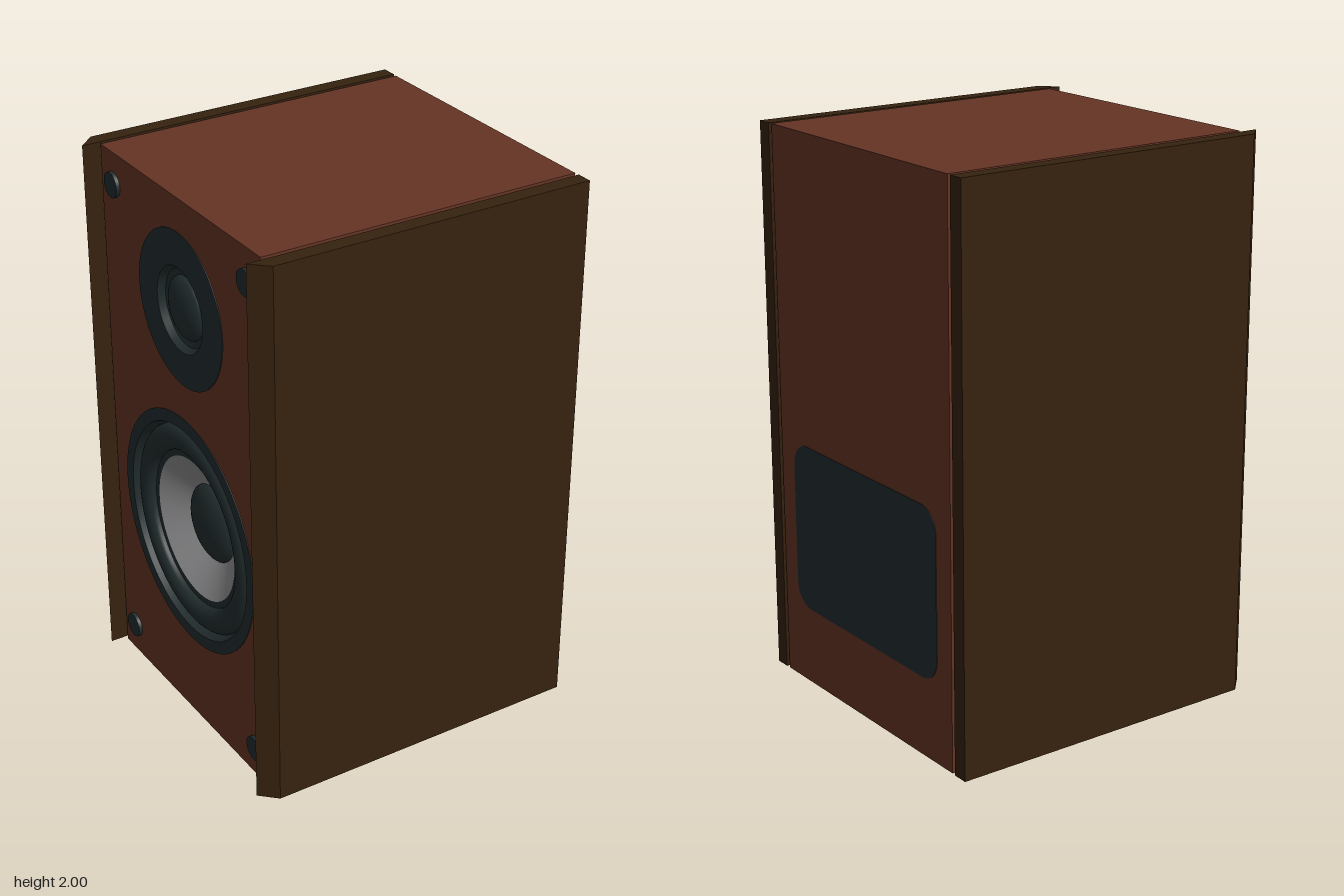
import * as THREE from 'three';
import { toCreasedNormals } from 'three/addons/utils/BufferGeometryUtils.js';

const material = (name, color) => {
  const m = new THREE.MeshStandardMaterial({ color });
  m.name = name;
  return m;
};

export function createModel() {
  const model = new THREE.Group();
  model.name = 'bookshelfSpeaker';

  const cabinetWood = material('cabinet red-brown wood', 0x653424);
  const panelWood = material('side panel dark wood', 0x36220f);
  const black = material('blue-black plastic', 0x222d2e);
  const coneGrey = material('cone grey', 0x8c8c8e);

  const add = (name, geometry, mat, x = 0, y = 0, z = 0, parent = model) => {
    const mesh = new THREE.Mesh(geometry, mat);
    mesh.name = name;
    mesh.position.set(x, y, z);
    parent.add(mesh);
    return mesh;
  };

  // Sizes: the baffle with the drivers faces -x
  const baffleX = -0.56, seamX = -0.41, rearX = 0.618, halfZ = 0.517;
  const wooferY = 0.757, tweeterY = 1.605;

  // Cabinet body behind the baffle
  add('cabinet', new THREE.BoxGeometry(rearX - seamX, 2, halfZ * 2), cabinetWood, (rearX + seamX) / 2, 1, 0);

  // Baffle with round driver openings
  const face = new THREE.Shape();
  face.moveTo(-halfZ, 0).lineTo(halfZ, 0).lineTo(halfZ, 2).lineTo(-halfZ, 2).closePath();
  for (const [y, r] of [[wooferY, 0.42], [tweeterY, 0.25]]) {
    face.holes.push(new THREE.Path().absarc(0, y, r, 0, Math.PI * 2, true));
  }
  const baffle = new THREE.ExtrudeGeometry(face, { depth: seamX - baffleX, bevelEnabled: false, curveSegments: 48 });
  add('baffle', baffle.rotateY(-Math.PI / 2), cabinetWood, seamX, 0, 0);

  // Side panels with a mitred front edge, standing off on thin spacers
  for (const s of [-1, 1]) {
    const side = s > 0 ? 'front' : 'back';
    const outline = new THREE.Shape([
      [-0.62, 0.533], [0.62, 0.533], [0.62, 0.59], [-0.56, 0.59],
    ].map(([x, z]) => new THREE.Vector2(x, -s * z)));
    const panel = new THREE.ExtrudeGeometry(outline, { depth: 2, bevelEnabled: false });
    add(side + 'SidePanel', panel.rotateX(-Math.PI / 2), panelWood);
    add(side + 'Spacer', new THREE.BoxGeometry(1.14, 1.98, 0.018), panelWood, 0.035, 1, s * 0.525);
  }

  // Drivers: profiles are [radius, height], listed from rim to centre
  const driver = (name, y) => {
    const group = new THREE.Group();
    group.name = name;
    group.position.set(baffleX, y, 0);
    group.rotation.z = Math.PI / 2;
    model.add(group);
    return group;
  };
  const turned = (name, points, mat, parent) => {
    const lathe = new THREE.LatheGeometry(points.map(([r, h]) => new THREE.Vector2(r, h)), 64);
    return add(name, toCreasedNormals(lathe, 0.6), mat, 0, 0, 0, parent);
  };
  // Domed cap of radius r rising from height base to base + rise
  const dome = (r, base, rise) => Array.from({ length: 9 }, (_, i) => {
    const a = (i / 8) * Math.PI / 2;
    return [i === 8 ? 0 : r * Math.cos(a), base + rise * Math.sin(a)];
  });
  // Half-round roll between two radii
  const roll = (r0, r1, base, rise) => Array.from({ length: 11 }, (_, i) => {
    const a = (i / 10) * Math.PI;
    return [(r0 + r1) / 2 + (r0 - r1) / 2 * Math.cos(a), base + rise * Math.sin(a)];
  });

  const woofer = driver('woofer', wooferY);
  turned('wooferFrame', [[0.44, -0.002], [0.44, 0.003], [0.395, 0.003], [0.38, -0.03]], black, woofer);
  turned('wooferSurround', [...roll(0.38, 0.285, -0.03, 0.03), [0.262, -0.03]], black, woofer);
  turned('wooferCone', [[0.262, -0.03], [0.14, -0.1]], coneGrey, woofer);
  turned('wooferDustCap', dome(0.143, -0.1, 0.045), black, woofer);

  const tweeter = driver('tweeter', tweeterY);
  turned('tweeterPlate', [[0.275, -0.002], [0.275, 0.003], [0.15, 0.003], [0.135, -0.02], [0.11, -0.025]], black, tweeter);
  turned('tweeterDome', dome(0.112, -0.025, 0.035), black, tweeter);

  // Grille mounts in the baffle corners
  for (const y of [0.115, 1.885]) {
    for (const z of [-0.435, 0.435]) {
      const mount = new THREE.CylinderGeometry(0.045, 0.045, 0.023, 32).rotateZ(Math.PI / 2);
      add('grilleMount', mount, black, baffleX - 0.002, y, z);
    }
  }

  // Rounded terminal plate on the rear face
  const w = 0.435, y0 = 0.285, y1 = 0.895, c = 0.085;
  const plate = new THREE.Shape();
  plate.absarc(w - c, y0 + c, c, -Math.PI / 2, 0);
  plate.absarc(w - c, y1 - c, c, 0, Math.PI / 2);
  plate.absarc(c - w, y1 - c, c, Math.PI / 2, Math.PI);
  plate.absarc(c - w, y0 + c, c, Math.PI, Math.PI * 1.5);
  const terminal = new THREE.ExtrudeGeometry(plate, { depth: 0.004, bevelEnabled: false });
  add('terminalPlate', terminal.rotateY(Math.PI / 2), black, rearX - 0.002, 0, 0);

  return model;
}
